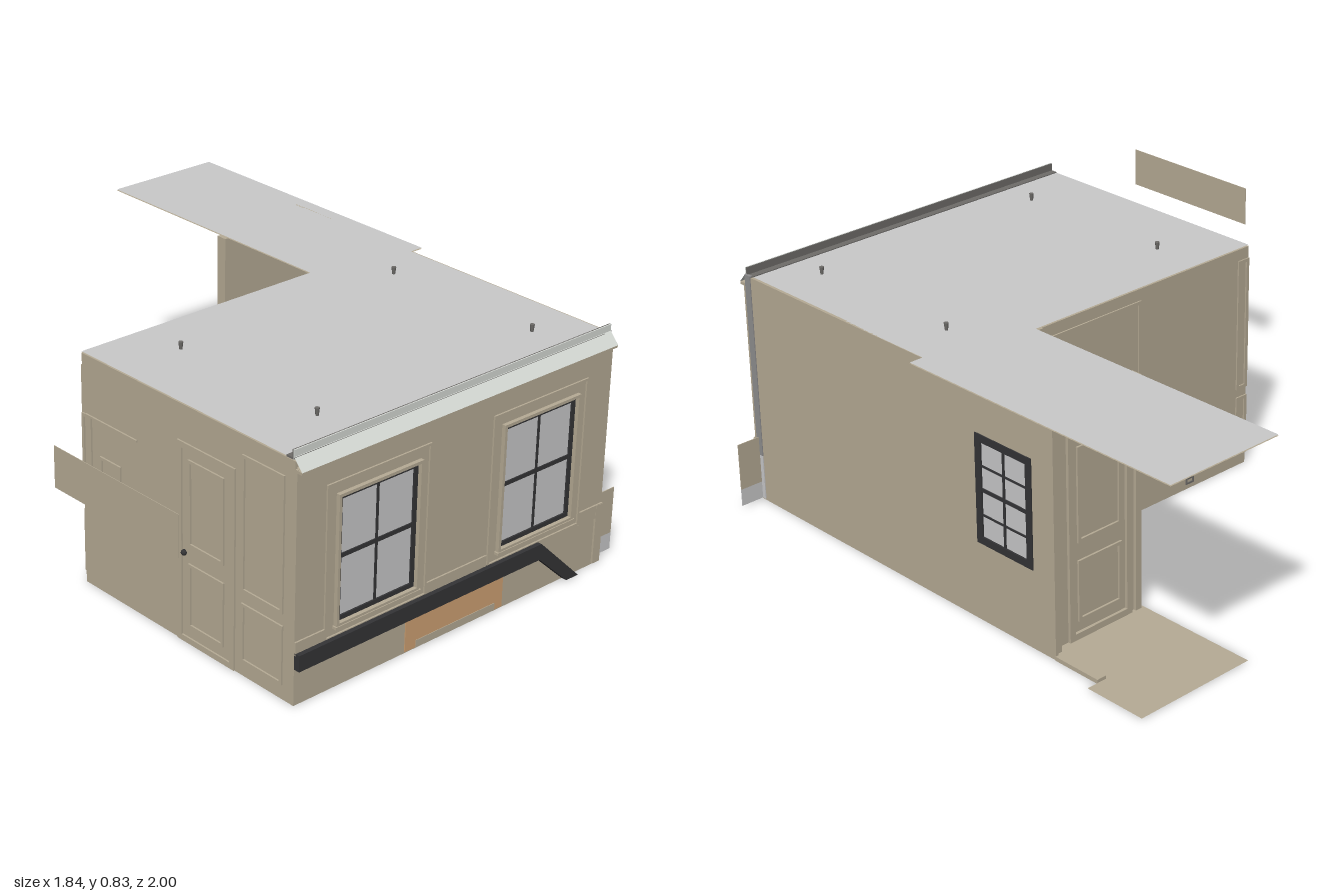
import * as THREE from 'three';

const mat = (name, color) => {
  const m = new THREE.MeshStandardMaterial({ color, side: THREE.DoubleSide });
  m.name = name;
  return m;
};

export function createModel() {
  const root = new THREE.Group();
  root.name = 'roomWithCorridor';
  const tan = mat('plasterTan', 0xb6ab95);
  const grey = mat('lightGrey', 0xc9c9ca);
  const black = mat('frameBlack', 0x343436);
  const orange = mat('orangePanel', 0xd0a273);
  const white = mat('corniceWhite', 0xd6dad5);
  const steel = mat('pilasterGrey', 0x8f8e8f);
  const dark = mat('darkGrey', 0x6e6c69);

  const add = (name, geo, m, parent = root) => {
    const mesh = new THREE.Mesh(geo, m);
    mesh.name = name;
    parent.add(mesh);
    return mesh;
  };
  // Box given by its two opposite corners
  const box = (name, m, x0, x1, y0, y1, z0, z1, parent = root) => {
    const b = add(name, new THREE.BoxGeometry(x1 - x0, y1 - y0, z1 - z0), m, parent);
    b.position.set((x0 + x1) / 2, (y0 + y1) / 2, (z0 + z1) / 2);
    return b;
  };
  const rect = (P, a0, a1, b0, b1) => {
    const p = new P();
    p.moveTo(a0, b0);
    p.lineTo(a1, b0);
    p.lineTo(a1, b1);
    p.lineTo(a0, b1);
    p.closePath();
    return p;
  };
  // Upright slab with rectangular holes; 'z' spans x/y, 'x' spans z/y
  const slab = (name, m, axis, at, depth, outer, holes, parent = root) => {
    const s = rect(THREE.Shape, ...outer);
    s.holes = holes.map(h => rect(THREE.Path, ...h));
    const g = new THREE.ExtrudeGeometry(s, { depth, bevelEnabled: false });
    if (axis === 'x') {
      g.scale(-1, 1, 1); // mirrored so that the quarter turn keeps z positive
      g.rotateY(Math.PI / 2);
      const i = g.index, p = g.attributes.position;
      const order = [...Array(i ? i.count : p.count).keys()].map(k => (i ? i.getX(k) : k));
      for (let k = 0; k < order.length; k += 3) [order[k], order[k + 1]] = [order[k + 1], order[k]];
      g.setIndex(order);
      g.computeVertexNormals();
      g.translate(at, 0, 0);
    } else g.translate(0, 0, at);
    return add(name, g, m, parent);
  };
  const frame = (name, m, axis, at, depth, [a0, a1, b0, b1], t, parent = root) =>
    slab(name, m, axis, at, depth, [a0, a1, b0, b1], [[a0 + t, a1 - t, b0 + t, b1 - t]], parent);
  // Flat horizontal sheet from x/z outline points
  const sheet = (name, m, y, pts) => {
    const s = new THREE.Shape(pts.map(([x, z]) => new THREE.Vector2(x, -z)));
    const g = new THREE.ShapeGeometry(s);
    g.rotateX(-Math.PI / 2);
    g.translate(0, y, 0);
    return add(name, g, m);
  };

  // Floor with the corridor extension
  sheet('floor', tan, 0.003, [[-0.5, 0.97], [0.83, 0.97], [0.83, -0.66], [0.875, -0.66],
    [0.875, -0.885], [0.43, -0.885], [0.43, 0.005], [-0.5, 0.005]]);
  box('threshold', tan, 0.8, 0.835, 0, 0.014, -0.66, -0.48);

  // Ceiling: grey above, plaster below
  const ceiling = [[-0.5, 0.935], [0.83, 0.935], [0.83, 0.09], [0.88, 0.09],
    [0.88, -1], [0.45, -1], [0.45, 0.005], [-0.5, 0.005]];
  sheet('ceilingTop', grey, 0.805, ceiling);
  sheet('ceilingUnderside', tan, 0.801, ceiling);

  // Ceiling spotlights
  for (const x of [-0.26, 0.65]) for (const z of [0.19, 0.8]) {
    const s = add('spotlight', new THREE.CylinderGeometry(0.008, 0.005, 0.026, 10), dark);
    s.position.set(x, 0.817, z);
  }

  // Side and back walls
  const sideWin = [-0.388, -0.142, 0.272, 0.642];
  slab('rightWall', tan, 'x', 0.823, 0.01, [-0.48, 0.965, 0, 0.805], [sideWin]);
  box('leftWall', tan, -0.5, -0.492, 0, 0.8, 0.005, 0.97);
  box('backWall', tan, -0.5, 0.43, 0, 0.8, 0.005, 0.013);
  box('endWall', tan, 0.44, 0.825, 0, 0.8, -0.435, -0.415);

  // Window: frame, bars and glass, built in its own plane
  const windowUnit = (name, axis, at, [a0, a1, b0, b1], t, bars, rows) => {
    const g = new THREE.Group();
    g.name = name;
    root.add(g);
    frame('windowFrame', black, axis, at, 0.014, [a0, a1, b0, b1], t, g);
    slab('glass', grey, axis, at + 0.005, 0.003, [a0 + t, a1 - t, b0 + t, b1 - t], [], g);
    const c = (a0 + a1) / 2;
    slab('verticalBar', black, axis, at + 0.002, 0.01, [c - bars, c + bars, b0 + t, b1 - t], [], g);
    for (const [y, h] of rows)
      slab('crossBar', black, axis, at + 0.002, 0.01, [a0 + t, a1 - t, y - h, y + h], [], g);
  };
  windowUnit('sideWindow', 'x', 0.823, sideWin, 0.025, 0.004,
    [[0.537, 0.003], [0.457, 0.006], [0.372, 0.003]]);

  // Front wall and its two windows
  const wins = [[-0.335, -0.015], [0.35, 0.67]].map(([a, b]) => [a, b, 0.222, 0.64]);
  slab('frontWall', tan, 'z', 0.963, 0.015, [-0.5, 0.83, 0, 0.775], wins);
  for (const w of wins) {
    windowUnit('frontWindow', 'z', 0.964, w, 0.015, 0.004, [[0.436, 0.007]]);
    const [a0, a1, b0, b1] = w;
    frame('windowCasing', tan, 'z', 0.978, 0.014, [a0 - 0.01, a1 + 0.01, b0 - 0.01, b1 + 0.01], 0.01);
    box('windowSill', tan, a0 - 0.015, a1 + 0.015, 0.205, 0.214, 0.975, 0.995);
    frame('windowSurround', tan, 'z', 0.978, 0.006, [a0 - 0.05, a1 + 0.05, 0.175, 0.69], 0.008);
  }
  for (const [x0, x1] of [[-0.5, -0.385], [0.035, 0.295], [0.72, 0.83]])
    box('dadoPanel', tan, x0, x1, 0.17, 0.217, 0.976, 0.984);
  box('orangePanel', orange, -0.045, 0.38, 0.005, 0.126, 0.976, 0.981);
  box('panelInset', tan, 0.0, 0.345, 0.005, 0.03, 0.976, 0.983);

  // Black rail, level then sloping to the ground
  const rail = new THREE.Shape([[-0.5, 0.125], [0.525, 0.125], [0.66, 0.002], [0.715, 0.002],
    [0.53, 0.18], [-0.5, 0.18]].map(p => new THREE.Vector2(...p)));
  const railGeo = new THREE.ExtrudeGeometry(rail, { depth: 0.025, bevelEnabled: false });
  add('rail', railGeo, black).position.z = 0.975;

  // Cornice along the front edge
  const tilt = add('corniceFace', new THREE.PlaneGeometry(1.33, Math.hypot(0.035, 0.04)), white);
  tilt.position.set(0.165, 0.793, 0.98);
  tilt.rotation.x = -Math.atan2(0.035, 0.04);
  box('corniceLip', white, -0.5, 0.83, 0.803, 0.833, 0.96, 0.964);
  box('corniceBack', dark, -0.5, 0.83, 0.803, 0.833, 0.956, 0.96);
  box('corniceLine', dark, -0.5, 0.8, 0.805, 0.81, 0.964, 0.966);
  box('corniceBead', tan, -0.5, 0.83, 0.765, 0.774, 0.976, 0.996);
  box('corniceTop', dark, -0.5, 0.83, 0.802, 0.808, 0.932, 0.958);

  // Right front corner: pilaster, foot and the small outer panel
  box('pilaster', steel, 0.826, 0.836, 0.165, 0.81, 0.935, 0.962);
  box('pilasterFoot', grey, 0.826, 0.836, 0.005, 0.165, 0.935, 0.962);
  box('cornerBlock', tan, 0.8, 0.833, 0.005, 0.215, 0.976, 0.985);
  box('outerPanel', tan, 0.835, 0.92, 0.065, 0.23, 0.95, 0.953);
  box('outerPanelFoot', grey, 0.835, 0.92, 0.005, 0.065, 0.95, 0.953);

  // Detached strip beyond the left wall
  box('detachedStrip', tan, -0.92, -0.918, 0.64, 0.775, 0.41, 0.96);

  // Panel mouldings of the back wall, inside and out
  for (const z of [0.0, 0.012]) {
    for (const r of [[0, 0.41, 0.29, 0.76], [0, 0.41, 0.06, 0.24],
      [-0.5, -0.45, 0.29, 0.76], [-0.5, -0.45, 0.04, 0.26]])
      frame('backPanelMoulding', tan, 'z', z, 0.006, r, 0.012);
  }
  for (const [x, y] of [[-0.23, 0.25], [-0.23, 0.03]])
    frame('socket', dark, 'z', 0.001, 0.006, [x - 0.018, x + 0.018, y - 0.012, y + 0.012], 0.006);

  // Left wall: door, panels, hatch and shelf line
  for (const x of [-0.506, -0.494]) {
    frame('doorCasing', tan, 'x', x, 0.009, [0.46, 0.72, -0.01 + 0.012, 0.68], 0.02);
    for (const r of [[0.51, 0.67, 0.34, 0.63], [0.51, 0.67, 0.06, 0.28],
      [0.75, 0.93, 0.29, 0.74], [0.75, 0.93, 0.05, 0.25],
      [0.09, 0.19, 0.36, 0.48], [0.005, 0.05, 0.29, 0.6]])
      frame('leftPanelMoulding', tan, 'x', x, 0.008, r, 0.01);
    box('shelfLine', tan, x, x + 0.008, 0.595, 0.602, 0.02, 0.27);
  }
  const knob = add('doorKnob', new THREE.SphereGeometry(0.01, 10, 8), black);
  knob.position.set(-0.504, 0.31, 0.49);

  // Right wall panels facing the room
  for (const [z0, z1] of [[0.06, 0.27], [0.32, 0.6], [0.65, 0.9]]) {
    frame('rightPanelMoulding', tan, 'x', 0.817, 0.007, [z0, z1, 0.3, 0.72], 0.012);
    frame('rightDadoMoulding', tan, 'x', 0.817, 0.007, [z0, z1, 0.06, 0.24], 0.012);
  }

  // End wall door, corner trim and jambs of the corridor opening
  frame('endDoorCasing', tan, 'z', -0.445, 0.012, [0.48, 0.74, 0.003, 0.7], 0.022);
  for (const r of [[0.52, 0.7, 0.33, 0.65], [0.52, 0.7, 0.06, 0.27]])
    frame('endDoorMoulding', tan, 'z', -0.442, 0.008, r, 0.012);
  box('cornerTrim', tan, 0.79, 0.825, 0, 0.8, -0.46, -0.435);
  box('endJamb', tan, 0.44, 0.465, 0, 0.8, -0.445, -0.405);
  box('backJamb', tan, 0.425, 0.445, 0, 0.8, 0.0, 0.03);

  return root;
}
